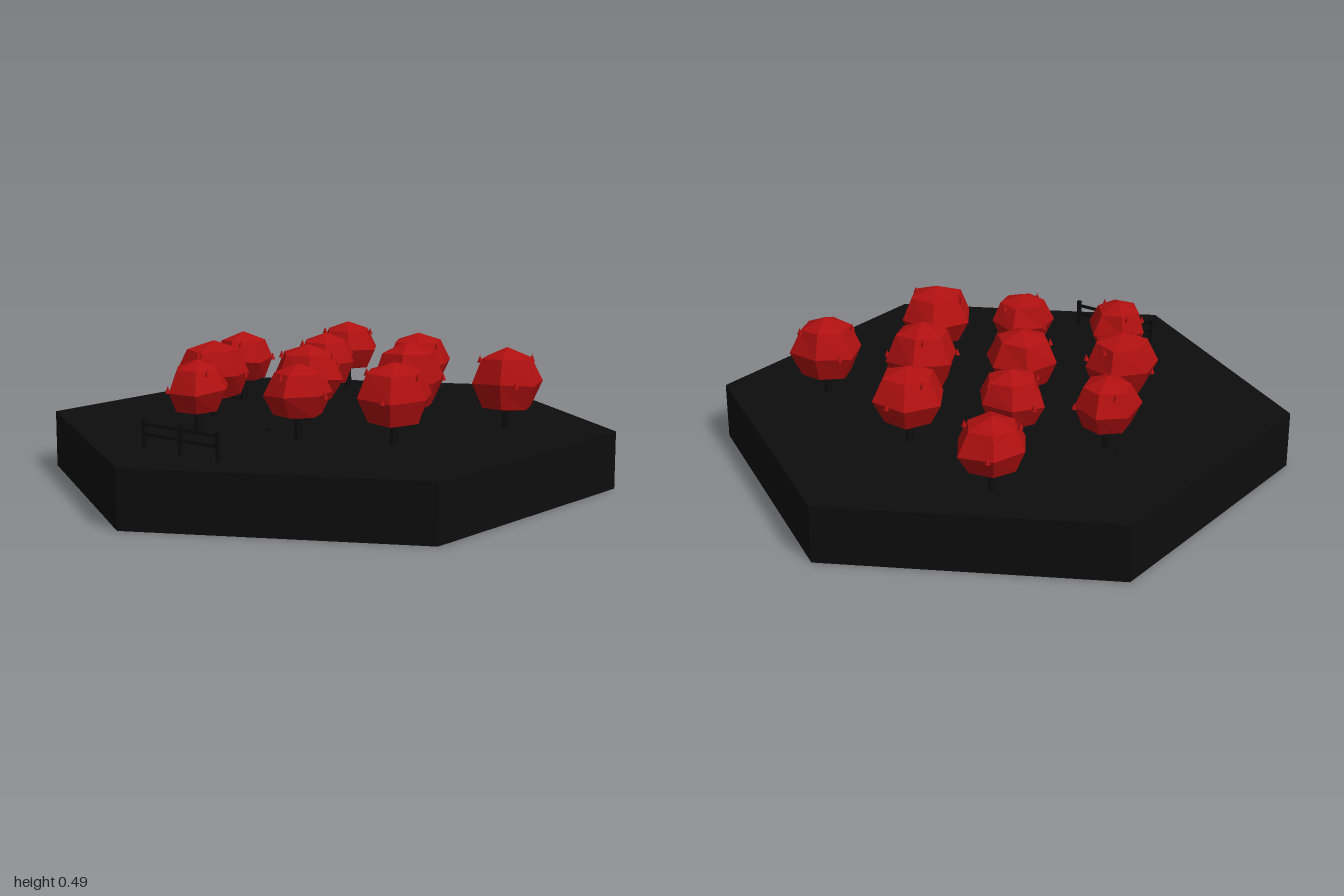
import * as THREE from 'three';

const black = new THREE.MeshStandardMaterial({ name: 'charcoal', color: 0x0d0d0d, flatShading: true, side: THREE.DoubleSide });
const red = new THREE.MeshStandardMaterial({ name: 'fruitRed', color: 0xb01010, flatShading: true });

const GROUND = 0.2;

// tree positions: x, z, crown radius in x, in z, crown top
const TREES = [
  [-0.05, -0.695, 0.12, 0.128, 0.46],
  [-0.385, -0.35, 0.113, 0.128, 0.46], [-0.07, -0.34, 0.12, 0.118, 0.465], [0.27, -0.365, 0.125, 0.123, 0.47],
  [-0.41, -0.005, 0.13, 0.135, 0.475], [-0.07, -0.005, 0.13, 0.126, 0.47], [0.28, -0.02, 0.13, 0.123, 0.488], [0.625, 0, 0.125, 0.125, 0.48],
  [-0.38, 0.33, 0.107, 0.13, 0.46], [-0.03, 0.36, 0.115, 0.112, 0.46], [0.29, 0.365, 0.135, 0.135, 0.475],
];

const STONES = [[0.165, -0.25], [-0.165, 0.2], [-0.145, -0.065], [-0.43, -0.39], [-0.315, 0.335]];

function add(parent, name, geometry, material, x = 0, y = 0, z = 0) {
  const mesh = new THREE.Mesh(geometry, material);
  mesh.name = name;
  mesh.position.set(x, y, z);
  parent.add(mesh);
  return mesh;
}

// faceted ball, bent a little differently for every tree
function crownGeometry(rx, ry, rz, seed) {
  const g = new THREE.SphereGeometry(1, 6, 4, Math.PI / 2 + 0.25 * Math.sin(seed * 2.3));
  const p = g.attributes.position;
  for (let i = 0; i < p.count; i++) {
    const x = p.getX(i), y = p.getY(i), z = p.getZ(i);
    const side = 1 - y * y;
    const k = 1 + 0.06 * side * Math.sin(3.1 * x + 4.3 * z + 2 * y + seed * 1.7);
    p.setXYZ(i, x * k * rx, Math.max(y, -0.86) * ry + 0.006 * side * Math.sin(5 * x + seed), z * k * rz);
  }
  g.computeVertexNormals();
  return g;
}

function makeTree([x, z, rx, rz, top], seed) {
  const tree = new THREE.Group();
  tree.name = 'tree';
  tree.position.set(x, GROUND, z);
  add(tree, 'trunk', new THREE.CylinderGeometry(0.011, 0.015, 0.12, 6), black, 0, 0.06, 0);
  const cy = 0.36 - GROUND, ry = top - 0.36;
  add(tree, 'crown', crownGeometry(rx, ry, rz, seed), red, 0, cy, 0);
  // small leaf tips standing off the crown
  for (let i = 0; i < 4; i++) {
    const a = seed * 1.3 + i * 1.7, up = i % 2 ? 0.66 : 0.05, out = i % 2 ? 0.74 : 0.95;
    add(tree, 'leafTip', new THREE.ConeGeometry(0.01, 0.025, 4), red,
      Math.cos(a) * rx * out, cy + up * ry, Math.sin(a) * rz * out);
  }
  return tree;
}

function makeFence() {
  const fence = new THREE.Group();
  fence.name = 'fence';
  const a = new THREE.Vector3(-0.495, GROUND, 0.568), b = new THREE.Vector3(-0.21, GROUND, 0.725);
  const length = a.distanceTo(b);
  fence.position.copy(a).lerp(b, 0.5);
  fence.rotation.y = -Math.atan2(b.z - a.z, b.x - a.x);
  for (const t of [-0.5, 0, 0.5])
    add(fence, 'fencePost', new THREE.BoxGeometry(0.013, 0.1, 0.013), black, t * length, 0.05, 0);
  for (const y of [0.048, 0.082])
    add(fence, 'fenceRail', new THREE.BoxGeometry(length, 0.01, 0.007), black, 0, y, 0);
  return fence;
}

export function createModel() {
  const model = new THREE.Group();
  model.name = 'orchardTile';

  // hollow six-sided tile, open underneath
  add(model, 'tileWalls', new THREE.CylinderGeometry(1, 1, GROUND, 6, 1, true, Math.PI / 2), black, 0, GROUND / 2, 0);
  add(model, 'tileTop', new THREE.CircleGeometry(1, 6).rotateX(-Math.PI / 2), black, 0, GROUND, 0);

  TREES.forEach((t, i) => model.add(makeTree(t, i + 1)));
  model.add(makeFence());

  for (const [x, z] of STONES)
    add(model, 'stone', new THREE.OctahedronGeometry(0.014), black, x, GROUND + 0.006, z);

  return model;
}
